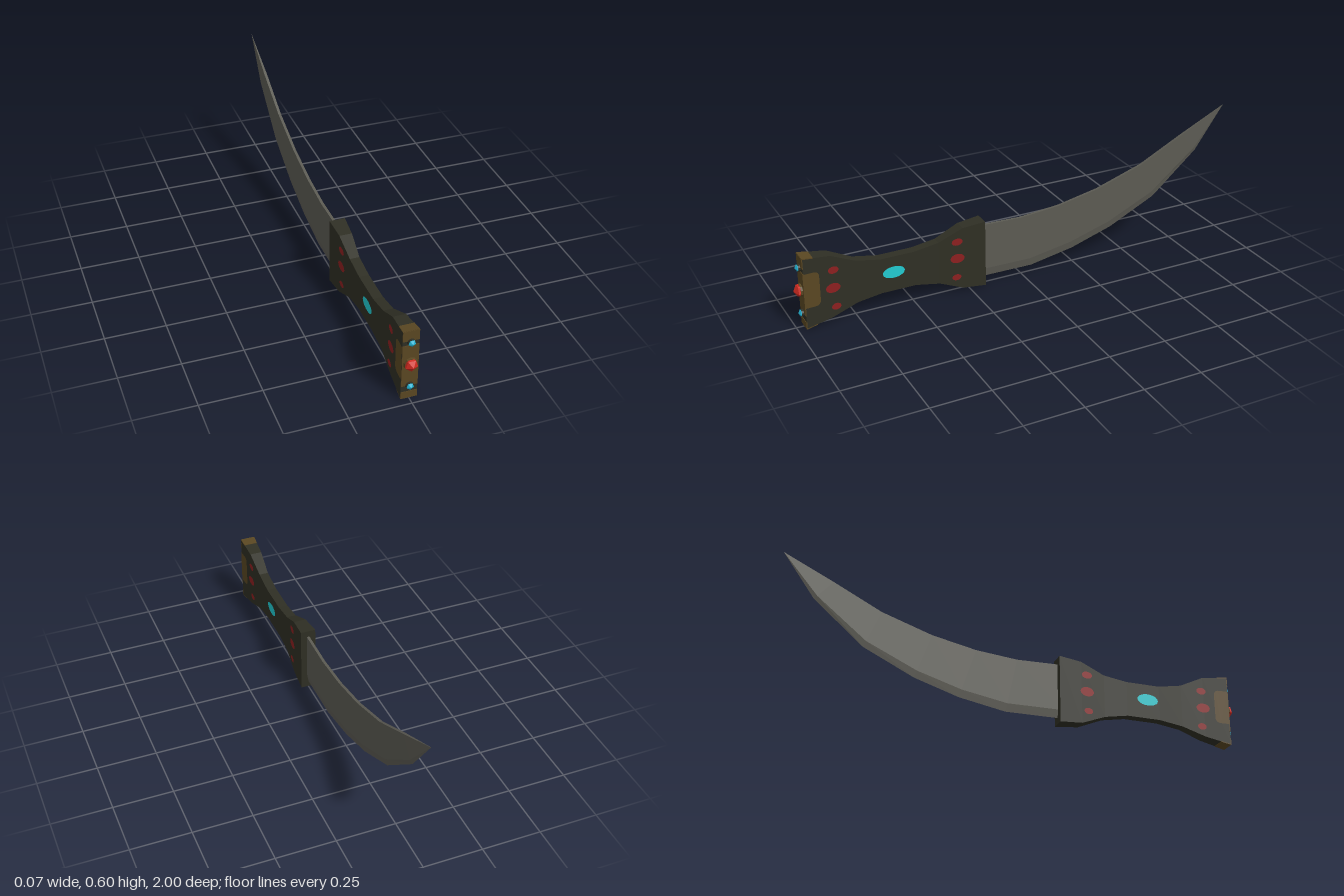
import * as THREE from 'three';

const mat = (name, color, opts = {}) => {
  const m = new THREE.MeshStandardMaterial({ color, flatShading: true, ...opts });
  m.name = name;
  return m;
};

// Skin a list of rings (each ring counter-clockwise seen from +z, ordered from +z to -z).
function loft(rings) {
  const n = rings[0].length;
  const pos = rings.flat(2);
  const idx = [];
  for (let s = 0; s < rings.length - 1; s++) {
    for (let i = 0; i < n; i++) {
      const a = s * n + i, b = s * n + (i + 1) % n;
      idx.push(a, a + n, b, b, a + n, b + n);
    }
  }
  const last = (rings.length - 1) * n;
  for (let i = 1; i < n - 1; i++) {
    idx.push(0, i, i + 1);
    idx.push(last, last + i + 1, last + i);
  }
  const g = new THREE.BufferGeometry();
  g.setAttribute('position', new THREE.Float32BufferAttribute(pos, 3));
  g.setIndex(idx);
  const flat = g.toNonIndexed();
  flat.computeVertexNormals();
  return flat;
}

const rectRing = (z, top, bottom, w) => [[w, top, z], [-w, top, z], [-w, bottom, z], [w, bottom, z]];

// Half thickness of the handle along its length
function halfWidth(z) {
  if (z < 0.385) return 0.033 - (z - 0.18) / 0.205 * 0.0125;
  if (z > 0.745) return 0.0205 + (z - 0.745) / 0.22 * 0.0125;
  return 0.0205;
}

export function createModel() {
  const group = new THREE.Group();
  group.name = 'dagger';
  const wood = mat('darkHandle', 0x2f2f24);
  const steel = mat('bladeSteel', 0x5c5b53);
  const bronze = mat('bronze', 0x5a4722, { side: THREE.DoubleSide });
  const redPaint = mat('redInlay', 0x8e2020, { side: THREE.DoubleSide });
  const cyanPaint = mat('cyanInlay', 0x22ccd2, { side: THREE.DoubleSide });
  const ruby = mat('redGem', 0xd02a20);
  const turquoise = mat('blueGem', 0x22b4d4);

  const add = (name, geometry, material) => {
    const mesh = new THREE.Mesh(geometry, material);
    mesh.name = name;
    group.add(mesh);
    return mesh;
  };

  // Handle: z, top, bottom
  const handle = [
    [0.965, 0.315, 0.002], [0.85, 0.3, 0.025], [0.745, 0.25, 0.06], [0.64, 0.23, 0.075],
    [0.49, 0.23, 0.075], [0.385, 0.245, 0.055], [0.28, 0.29, 0.012], [0.18, 0.3, 0.003],
  ];
  add('handle', loft(handle.map(([z, t, b]) => rectRing(z, t, b, halfWidth(z)))), wood);

  // Curved blade: spine z, y, edge z, y, half thickness
  const blade = [
    [0.2, 0.272, 0.2, 0.03, 0.006], [0, 0.266, -0.05, 0.027, 0.006],
    [-0.18, 0.282, -0.25, 0.063, 0.006], [-0.37, 0.32, -0.44, 0.122, 0.006],
    [-0.585, 0.39, -0.655, 0.225, 0.006], [-0.79, 0.492, -0.865, 0.405, 0.006],
    [-1, 0.595, -1, 0.594, 0.0004],
  ];
  add('blade', loft(blade.map(([tz, ty, bz, by, w]) => {
    const my = THREE.MathUtils.lerp(ty, by, 0.85), mz = THREE.MathUtils.lerp(tz, bz, 0.85);
    return [[w, ty, tz], [-w, ty, tz], [-w, my, mz], [0, by, bz], [w, my, mz]];
  })), steel);

  // Bronze bands across the pommel end
  for (const [low, high] of [[0.001, 0.032], [0.06, 0.25], [0.27, 0.315]]) {
    const band = add('pommelBand', new THREE.BoxGeometry(0.066, high - low, 0.004), bronze);
    band.position.set(0, (low + high) / 2, 0.9655);
  }
  // Bronze caps on the upper and lower pommel edges
  add('pommelTopCap', loft([rectRing(0.966, 0.3165, 0.3125, 0.0331), rectRing(0.92, 0.3105, 0.3065, 0.0306)]), bronze);
  add('pommelBottomCap', loft([rectRing(0.966, 0.004, 0, 0.0331), rectRing(0.92, 0.013, 0.009, 0.0306)]), bronze);

  // Painted side details: flat shapes in (z, y) laid on both handle sides
  const inlay = (name, shape, material) => {
    for (const side of [1, -1]) {
      const g = new THREE.ShapeGeometry(shape, 10);
      const p = g.attributes.position;
      for (let i = 0; i < p.count; i++) {
        const z = p.getX(i);
        p.setXYZ(i, side * (halfWidth(z) + 0.0015), p.getY(i), z);
      }
      // Keep faces pointing outward
      if (side === 1) g.index.array.reverse();
      g.computeVertexNormals();
      add(name, g, material);
    }
  };
  const ellipse = (z, y, rz, ry) => {
    const s = new THREE.Shape();
    s.absellipse(z, y, rz, ry, 0, Math.PI * 2);
    return s;
  };
  inlay('cyanOval', ellipse(0.585, 0.16, 0.048, 0.026), cyanPaint);
  for (const [z, y, rz, ry] of [
    [0.84, 0.235, 0.022, 0.016], [0.845, 0.156, 0.031, 0.021], [0.836, 0.07, 0.02, 0.015],
    [0.305, 0.232, 0.024, 0.016], [0.305, 0.156, 0.031, 0.021], [0.31, 0.069, 0.02, 0.014],
  ]) inlay('redOval', ellipse(z, y, rz, ry), redPaint);

  const patch = new THREE.Shape();
  patch.moveTo(0.965, 0.095);
  patch.lineTo(0.925, 0.095);
  patch.quadraticCurveTo(0.9, 0.095, 0.9, 0.12);
  patch.lineTo(0.9, 0.222);
  patch.quadraticCurveTo(0.9, 0.247, 0.925, 0.247);
  patch.lineTo(0.965, 0.247);
  inlay('pommelSidePatch', patch, bronze);

  // Faceted gems in short settings
  for (const [name, y, r, gemMat, setMat] of [
    ['redGem', 0.165, 0.029, ruby, bronze],
    ['upperBlueGem', 0.265, 0.0165, turquoise, wood],
    ['lowerBlueGem', 0.062, 0.0165, turquoise, wood],
  ]) {
    const gem = add(name, new THREE.IcosahedronGeometry(r, 0).rotateX(Math.atan(2 / (1 + Math.sqrt(5)))), gemMat);
    gem.position.set(0, y, 0.971);
    const setting = add(name + 'Setting', new THREE.CylinderGeometry(r * 0.9, r * 0.98, 0.012, 10).rotateX(Math.PI / 2), setMat);
    setting.position.set(0, y, 0.97);
  }
  return group;
}
